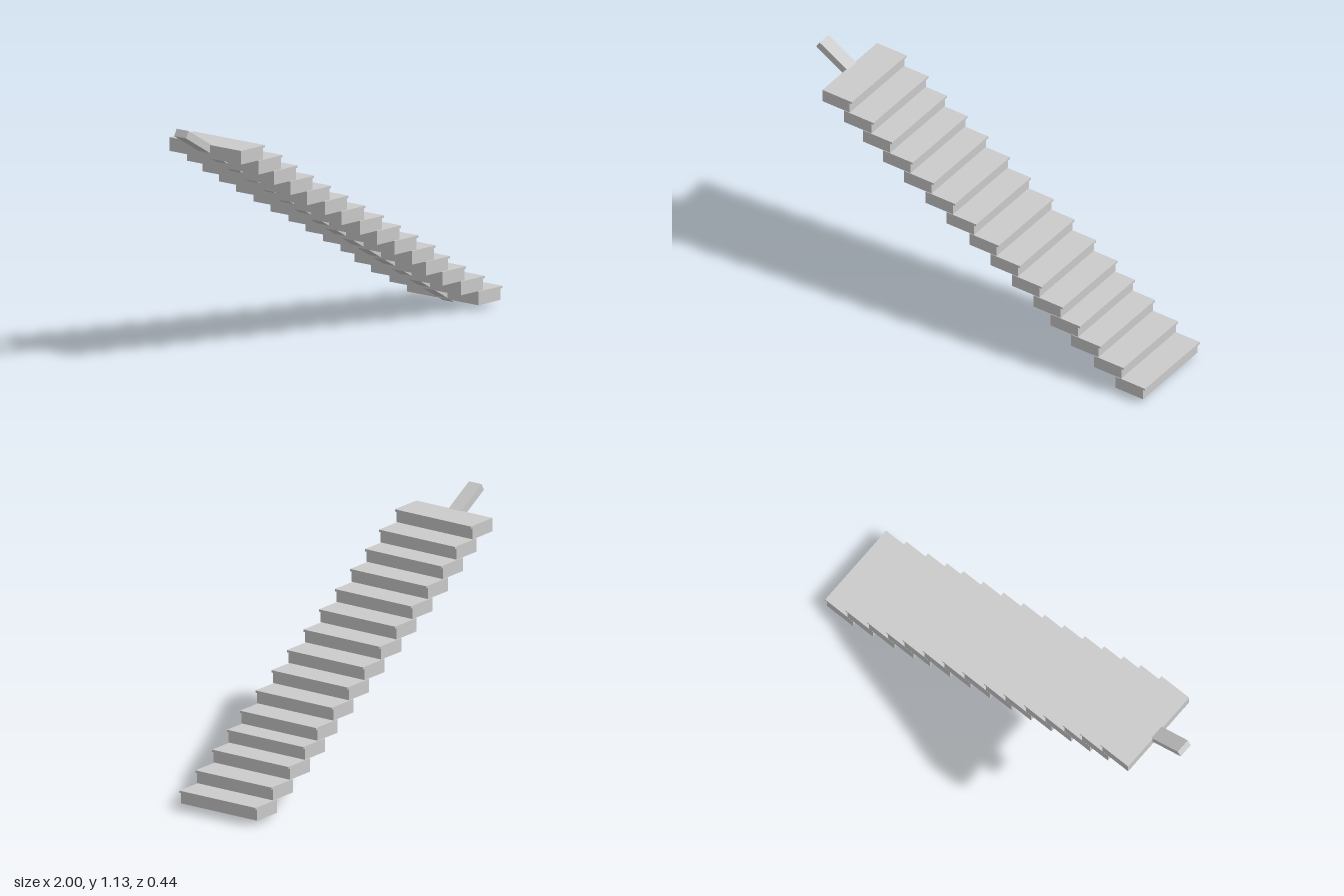
import * as THREE from 'three';

const material = new THREE.MeshStandardMaterial({ color: 0xcccccc, flatShading: true });

function box(name, parent, w, h, d, x, y, z) {
  const mesh = new THREE.Mesh(new THREE.BoxGeometry(w, h, d), material);
  mesh.name = name;
  mesh.position.set(x, y, z);
  parent.add(mesh);
  return mesh;
}

export function createModel() {
  const group = new THREE.Group();
  group.name = 'staircase';

  // Front edge of each tread, from the lowest step to the highest
  const noses = [1, 0.877, 0.747, 0.632, 0.533, 0.412, 0.29, 0.17,
    0.042, -0.077, -0.2, -0.318, -0.434, -0.54, -0.663];
  const rise = 0.0677, width = 0.443, run = 0.167, overhang = 0.012;
  const lip = 0.011, blockHeight = 0.054;

  noses.forEach((nose, i) => {
    const step = new THREE.Group();
    step.name = `step${i + 1}`;
    step.position.set(nose - run, 0.022 + rise * i, 0);
    // Solid block under a thin tread with a projecting nose
    const blockRun = run - overhang;
    box('riserBlock', step, blockRun, blockHeight, width, blockRun / 2, blockHeight / 2, 0);
    box('tread', step, run, lip, width, run / 2, blockHeight + lip / 2, 0);
    group.add(step);
  });

  // Single sloping beam carrying the steps, running past the top
  const top = new THREE.Vector2(-1, 1.095), foot = new THREE.Vector2(0.882, 0);
  const along = foot.clone().sub(top);
  const depth = 0.037;
  const angle = along.angle();
  const mid = top.clone().add(foot).multiplyScalar(0.5);
  const beam = box('stringer', group, along.length(), depth, 0.073,
    mid.x - Math.sin(angle) * depth / 2, mid.y + Math.cos(angle) * depth / 2, -0.007);
  beam.rotation.z = angle;

  return group;
}
